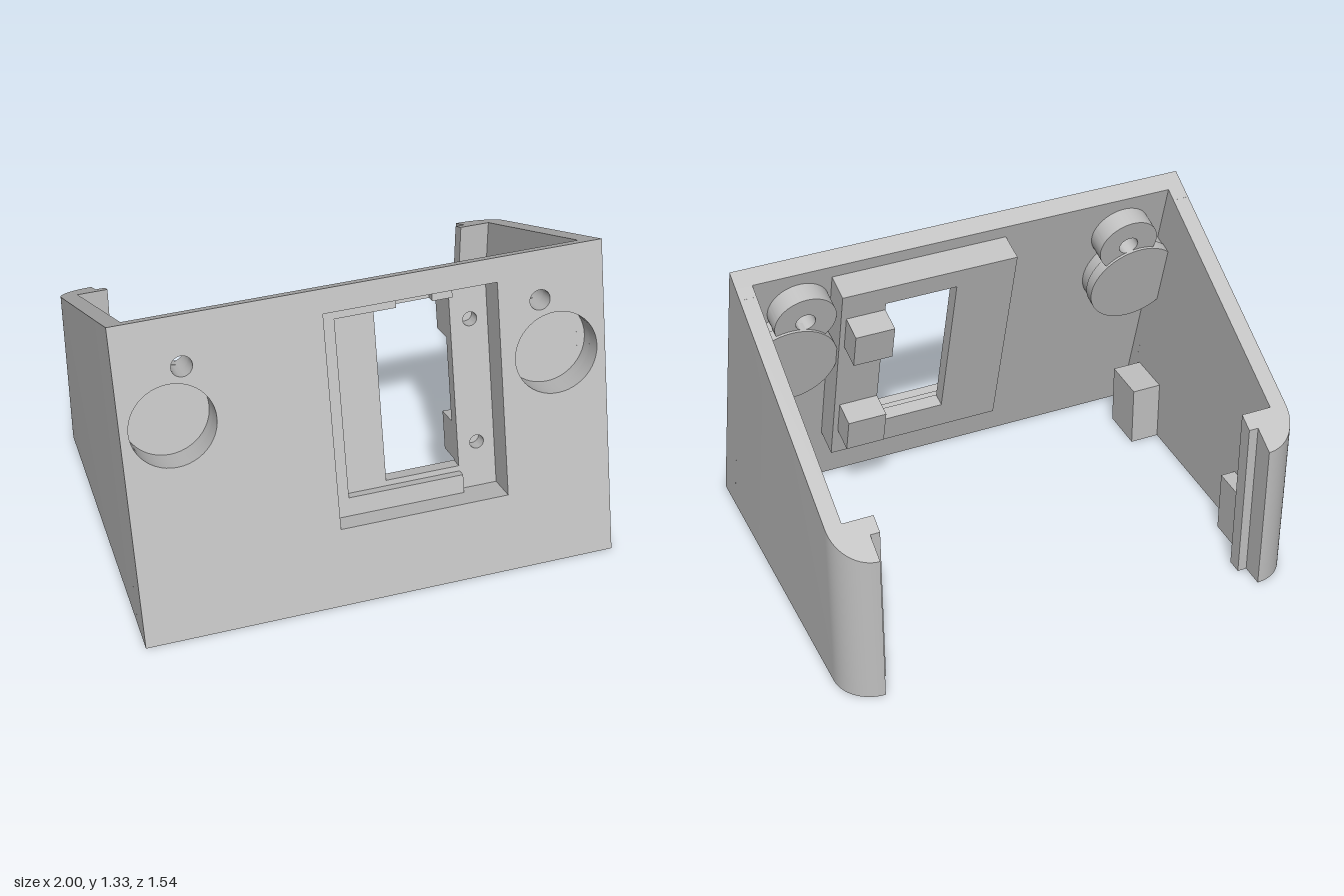
import * as THREE from 'three';
import { toCreasedNormals } from 'three/addons/utils/BufferGeometryUtils.js';

const TILT = Math.atan(0.36 / 1.33); // lean of the front panel
const H = 1.378;                     // panel length along its slope

const rect = (x0, y0, x1, y1) => [[x0, y0], [x1, y0], [x1, y1], [x0, y1]];
const circle = (cx, cy, r, n = 48) => Array.from({ length: n }, (_, i) => {
  const a = (i / n) * Math.PI * 2;
  return [cx + r * Math.cos(a), cy + r * Math.sin(a)];
});
const toVectors = (pts) => pts.map(([x, y]) => new THREE.Vector2(x, y));

function extrude(outline, holes, depth) {
  const shape = new THREE.Shape(toVectors(outline));
  for (const h of holes) shape.holes.push(new THREE.Path(toVectors(h)));
  return new THREE.ExtrudeGeometry(shape, { depth, bevelEnabled: false });
}

function moveVertices(geo, rule) {
  const p = geo.attributes.position;
  const v = new THREE.Vector3();
  for (let i = 0; i < p.count; i++) {
    rule(v.fromBufferAttribute(p, i));
    p.setXYZ(i, v.x, v.y, v.z);
  }
  return geo;
}

export function createModel() {
  const grey = new THREE.MeshStandardMaterial({ color: 0xc0c0c0 });
  grey.name = 'light grey plastic';
  const model = new THREE.Group();
  model.name = 'slopedEnclosure';
  const front = new THREE.Group();
  front.name = 'frontAssembly';
  front.position.z = 0.77;
  front.rotation.x = -TILT;
  model.add(front);

  const add = (parent, name, geo) => {
    const mesh = new THREE.Mesh(toCreasedNormals(geo, 0.5), grey);
    mesh.name = name;
    parent.add(mesh);
  };

  // A layer of the front panel between two depths behind its face;
  // full-height layers are mitred to the floor and to the sloping rim
  const layer = (name, outline, holes, d0, d1) => {
    const geo = extrude(outline, holes, d1 - d0).translate(0, 0, -d1);
    moveVertices(geo, (v) => {
      if (v.y < 0.01) v.y = -0.27 * v.z;
      else if (v.y > H - 0.01) v.y = H + 0.24 * v.z;
    });
    add(front, name, geo);
  };

  // Front panel with button recesses, screw holes and display opening
  const button = { x: 0.79, y: 0.93, r: 0.175 };
  const screw = { x: 0.73, y: 1.168, r: 0.043 };
  const opening = rect(-0.16, 0.345, 0.555, 1.275);
  const panelHoles = [opening];
  for (const s of [-1, 1]) {
    panelHoles.push(circle(s * button.x, button.y, button.r));
    panelHoles.push(circle(s * screw.x, screw.y, screw.r, 32));
  }
  layer('frontPanel', rect(-1, 0, 1, H), panelHoles, 0, 0.077);

  // Stepped display housing behind the panel
  const box = rect(-0.18, 0.31, 0.59, 1.3);
  const pocket = [
    [-0.09, 0.426], [0.4, 0.426], [0.4, 0.345], [0.555, 0.345], [0.555, 1.275], [0.4, 1.275],
    [0.4, 1.205], [0.315, 1.205], [0.315, 1.275], [0.165, 1.275], [0.165, 1.205], [-0.09, 1.205],
  ];
  const postHeights = [0.5425, 1.084];
  layer('displayFrame', box, [opening], 0.077, 0.1);
  layer('displayPocket', box, [pocket], 0.1, 0.14);
  layer('displayBack', box,
    [rect(0.083, 0.45, 0.397, 1.205), ...postHeights.map((y) => circle(0.48, y, 0.03, 24))], 0.14, 0.2);
  for (const y of postHeights) {
    layer('displayPost', rect(0.397, y - 0.085, 0.567, y + 0.085), [], 0.2, 0.31);
  }

  for (const s of [-1, 1]) {
    // Cup behind each button recess
    const cup = circle(s * button.x, button.y, 0.205);
    layer('buttonCupWall', circle(s * button.x, button.y, 0.2),
      [circle(s * button.x, button.y, button.r)], 0.077, 0.13);
    layer('buttonCupFloor', cup, [], 0.13, 0.178);

    // Screw boss, kept clear of the recess beside it
    const boss = circle(s * screw.x, screw.y, 0.133, 96).map(([x, y]) => {
      const dx = x - s * button.x, dy = y - button.y;
      const k = Math.max(1, 0.19 / Math.hypot(dx, dy));
      return [s * button.x + dx * k, button.y + dy * k];
    });
    layer('screwBoss', boss, [circle(s * screw.x, screw.y, screw.r, 32)], 0.077, 0.167);

    // Wall edge behind the panel, hollowed around the recess
    const edge = [[s, 0], [s * 0.93, 0]];
    for (let i = 0; i <= 24; i++) {
      const dy = -button.r + (i / 24) * 2 * button.r;
      const reach = button.x + Math.sqrt(Math.max(0, button.r ** 2 - dy ** 2));
      edge.push([s * Math.max(0.93, reach), button.y + dy]);
    }
    edge.push([s * 0.93, H], [s, H]);
    layer('wallFrontEdge', edge, [], 0.077, 0.13);

    // Side wall with rounded back corner and stepped lip (outline is x, -z)
    const wall = [[1, -0.635]];
    for (let i = 0; i <= 16; i++) {
      const a = (i / 16) * Math.PI / 2;
      wall.push([0.84 + 0.16 * Math.cos(a), 0.61 + 0.16 * Math.sin(a)]);
    }
    wall.push([0.84, 0.67], [0.8, 0.67], [0.8, 0.605], [0.93, 0.605], [0.93, -0.635]);
    const wallGeo = extrude(wall.map(([x, y]) => [s * x, y]), [], 1).rotateX(-Math.PI / 2);
    moveVertices(wallGeo, (v) => {
      if (v.y < 0.5) return;
      if (v.z > 0.6) v.z = 0.293;
      v.y = 1.33 - 0.547 * (0.41 - v.z);
    });
    add(model, 'sideWall', wallGeo);

    // Floor screw blocks with blind holes from below
    const blocks = [
      ['frontScrewBlock', 0.8, 0.33, 0.53, 0.87],
      ['backScrewBlock', 0.865, -0.57, -0.37, 0.9],
    ];
    for (const [name, x0, z0, z1, hx] of blocks) {
      const outline = rect(s * x0, -z1, s * 0.935, -z0);
      const hole = circle(s * hx, -(z0 + z1) / 2, 0.025, 20);
      add(model, name, extrude(outline, [hole], 0.2).rotateX(-Math.PI / 2));
      add(model, name + 'Cap', extrude(outline, [], 0.08).rotateX(-Math.PI / 2).translate(0, 0.2, 0));
    }
  }
  return model;
}
